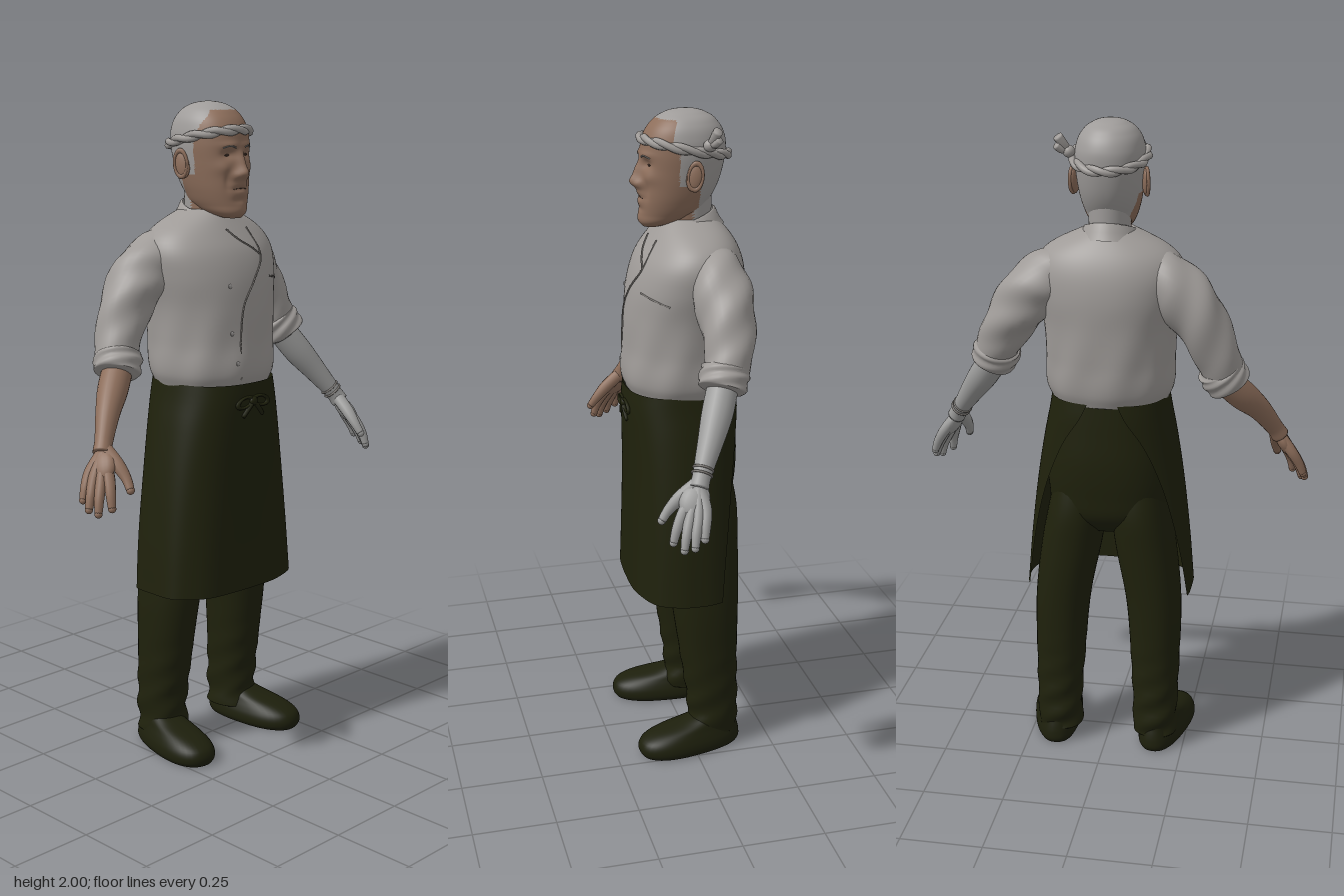
import * as THREE from 'three';

const mat = (name, color, side = THREE.FrontSide) => {
  const m = new THREE.MeshStandardMaterial({ color, side });
  m.name = name;
  return m;
};
const V = (x, y, z) => new THREE.Vector3(x, y, z);
const gauss = (x, y, cx, cy, sx, sy) => Math.exp(-(((x - cx) / sx) ** 2) - ((y - cy) / sy) ** 2);
const power = (v, k) => Math.sign(v) * Math.abs(v) ** k;

// Skin a list of point rings; closed rings wrap around
function skinRings(rings, closed = true) {
  const n = rings[0].length, pos = [], idx = [];
  rings.forEach(r => r.forEach(p => pos.push(p.x, p.y, p.z)));
  for (let i = 0; i < rings.length - 1; i++)
    for (let j = 0; j < (closed ? n : n - 1); j++) {
      const k = (j + 1) % n, a = i * n + j, b = i * n + k, c = a + n, d = b + n;
      idx.push(a, c, b, b, c, d);
    }
  const g = new THREE.BufferGeometry();
  g.setAttribute('position', new THREE.Float32BufferAttribute(pos, 3));
  g.setIndex(idx);
  g.computeVertexNormals();
  return g;
}

// Smooth interpolation of rows by their first column
function rowReader(rows) {
  const c = new THREE.CubicInterpolant(rows.map(r => r[0]), rows.flatMap(r => r.slice(1)), rows[0].length - 1);
  return y => Array.from(c.evaluate(y));
}
const middle = ring => ring.reduce((s, p) => s.add(p), V(0, 0, 0)).divideScalar(ring.length);
const capped = rings => {
  const flat = r => { const m = middle(r); return r.map(() => m); };
  return [flat(rings[0]), ...rings, flat(rings[rings.length - 1])];
};

// Upright body from rows of [y, half width, front z, back z, centre x]
function loft(rows, { e = 2, seg = 40, steps = 32, bump } = {}) {
  const read = rowReader(rows), y0 = rows[0][0], y1 = rows[rows.length - 1][0], rings = [];
  for (let i = 0; i <= steps; i++) {
    const y = y0 + (y1 - y0) * (1 - Math.cos(Math.PI * i / steps)) / 2;
    const [hx, zf, zb, cx] = read(y), ring = [];
    for (let j = 0; j < seg; j++) {
      const t = j / seg * Math.PI * 2;
      const p = V(cx + hx * power(Math.cos(t), 2 / e), y, (zf + zb) / 2 + (zf - zb) / 2 * power(Math.sin(t), 2 / e));
      if (bump) bump(p, t);
      ring.push(p);
    }
    rings.push(ring);
  }
  return skinRings(capped(rings));
}

// Round limb along points of [x, y, z, radius]
function limb(pts, seg = 20, steps = 20, wrinkle = 0) {
  const curve = new THREE.CatmullRomCurve3(pts.map(p => V(p[0], p[1], p[2])));
  const f = curve.computeFrenetFrames(steps), read = rowReader(pts.map((p, i) => [i, p[3]])), rings = [];
  for (let i = 0; i <= steps; i++) {
    const u = i / steps, c = curve.getPoint(u), r = read(u * (pts.length - 1))[0], ring = [];
    for (let j = 0; j < seg; j++) {
      const t = j / seg * Math.PI * 2, w = r + wrinkle * Math.sin(3 * t + 22 * u) * Math.sin(u * Math.PI);
      ring.push(c.clone().addScaledVector(f.normals[i], w * Math.cos(t)).addScaledVector(f.binormals[i], -w * Math.sin(t)));
    }
    rings.push(ring);
  }
  return skinRings(capped(rings));
}

// Two colour groups: 0 where test(centre) is true, otherwise 1
function splitColours(g, test) {
  const p = g.attributes.position, ix = g.index.array, sets = [[], []], v = V(0, 0, 0);
  for (let i = 0; i < ix.length; i += 3) {
    const c = V(0, 0, 0);
    for (let k = 0; k < 3; k++) c.add(v.fromBufferAttribute(p, ix[i + k]));
    sets[test(c.divideScalar(3)) ? 0 : 1].push(ix[i], ix[i + 1], ix[i + 2]);
  }
  g.setIndex([...sets[0], ...sets[1]]);
  g.addGroup(0, sets[0].length, 0);
  g.addGroup(sets[0].length, sets[1].length, 1);
  return g;
}

export function createModel() {
  const root = new THREE.Group();
  const shirt = mat('shirt cloth', 0x9f9b98, THREE.DoubleSide), skin = mat('skin', 0x8d6e5b);
  const grey = mat('grey hair', 0x9f9c9a), cloth = mat('dark olive cloth', 0x1f210c, THREE.DoubleSide);
  const shoe = mat('shoe', 0x1d1f0c), metal = mat('pale arm', 0x9c9c9b);
  const seam = mat('seam', 0x75716d), dark = mat('dark eye', 0x3a2c25);
  const add = (name, geo, m) => {
    const mesh = new THREE.Mesh(geo, m);
    mesh.name = name;
    root.add(mesh);
    return mesh;
  };
  const tube = (name, pts, r, m) => add(name, new THREE.TubeGeometry(new THREE.CatmullRomCurve3(pts), 40, r, 6), m);
  const ball = (name, m, p, s) => {
    const b = add(name, new THREE.SphereGeometry(1, 20, 14), m);
    b.position.set(...p);
    b.scale.set(...s);
    return b;
  };

  // Shirt body with sloping shoulders and blousing above the waist
  const torsoRows = [
    [1.165, 0.178, 0.16, -0.165, 0], [1.2, 0.192, 0.172, -0.178, 0], [1.3, 0.195, 0.168, -0.187, 0],
    [1.4, 0.202, 0.164, -0.191, 0], [1.5, 0.222, 0.15, -0.193, 0], [1.57, 0.225, 0.125, -0.182, 0],
    [1.615, 0.2, 0.096, -0.164, 0], [1.645, 0.158, 0.075, -0.144, 0], [1.67, 0.105, 0.057, -0.122, 0],
    [1.685, 0.07, 0.045, -0.105, 0]];
  add('shirt', loft(torsoRows, { e: 2.15, seg: 72, steps: 48, bump: (p, t) => {
    const w = 1 + 0.014 * Math.sin(t * 9 + p.y * 14) * Math.max(0, 1 - Math.abs(p.y - 1.27) / 0.2);
    p.x *= w; p.z *= w;
  } }), shirt);
  const torsoAt = rowReader(torsoRows);
  const onChest = ([x, y]) => {
    const [hx, zf, zb] = torsoAt(y);
    return V(x, y, (zf + zb) / 2 + (zf - zb) / 2 * (1 - Math.abs(x / hx) ** 2.15) ** (1 / 2.15) + 0.001);
  };
  // Overlapping front edge, lapel fold and chest pocket
  [['frontEdge', [[0.06, 1.63], [0.075, 1.55], [0.02, 1.48], [-0.03, 1.41], [-0.045, 1.32], [-0.045, 1.19]]],
    ['lapelFold', [[-0.03, 1.63], [0, 1.6], [0.04, 1.575], [0.075, 1.55]]],
    ['pocketEdge', [[0.1, 1.485], [0.15, 1.475], [0.19, 1.46]]]].forEach(([n, pts]) => tube(n, pts.map(onChest), 0.0028, seam));
  [[-0.075, 1.47], [-0.075, 1.33], [-0.06, 1.24]].forEach(b =>
    ball('button', grey, onChest(b).toArray(), [0.007, 0.007, 0.003]));

  // Stand collar, open at the throat and higher behind
  const collar = [[0, 0.1, 0.115], [0.5, 0.086, 0.1], [1, 0.077, 0.09], [1.02, 0.07, 0.083]].map(([k, rx, rz]) =>
    Array.from({ length: 33 }, (_, j) => {
      const t = 0.3 + j / 32 * (Math.PI * 2 - 0.6);
      return V(rx * Math.sin(t), 1.637 + 0.045 * k - 0.028 * Math.cos(t), -0.02 + rz * Math.cos(t));
    }));
  add('collar', skinRings(collar, false), shirt);

  // Neck
  add('neck', splitColours(loft([[1.57, 0.068, 0.07, -0.1, 0], [1.65, 0.062, 0.052, -0.098, 0], [1.76, 0.066, 0.06, -0.1, 0]]),
    c => c.z > -0.03), [skin, grey]);

  // Head with modelled brow, sockets, nose, lips and chin
  const headRows = [
    [1.662, 0.026, 0.108, 0.055, 0], [1.675, 0.05, 0.118, 0.0, 0], [1.7, 0.068, 0.119, -0.06, 0],
    [1.74, 0.083, 0.119, -0.092, 0], [1.78, 0.092, 0.117, -0.114, 0], [1.83, 0.099, 0.115, -0.13, 0],
    [1.88, 0.103, 0.113, -0.138, 0], [1.92, 0.1, 0.106, -0.136, 0], [1.96, 0.084, 0.082, -0.116, 0],
    [1.985, 0.057, 0.049, -0.086, 0], [1.997, 0.026, 0.012, -0.049, 0], [2, 0.004, -0.014, -0.022, 0]];
  const face = (x, y) => {
    const ax = Math.abs(x);
    return 0.025 * gauss(x, y, 0, 1.793, 0.02, 0.02) + 0.017 * gauss(x, y, 0, 1.825, 0.014, 0.03)
      + 0.01 * gauss(ax, y, 0.022, 1.788, 0.011, 0.012) - 0.012 * gauss(ax, y, 0.037, 1.848, 0.02, 0.014)
      + 0.006 * gauss(ax, y, 0.035, 1.875, 0.026, 0.01) + 0.006 * gauss(ax, y, 0.055, 1.81, 0.02, 0.018)
      - 0.005 * gauss(ax, y, 0.042, 1.77, 0.009, 0.025) + 0.004 * gauss(x, y, 0, 1.762, 0.028, 0.009)
      - 0.004 * gauss(x, y, 0, 1.748, 0.03, 0.005) + 0.003 * gauss(x, y, 0, 1.735, 0.025, 0.009)
      - 0.004 * gauss(x, y, 0, 1.715, 0.025, 0.009) + 0.003 * gauss(x, y, 0, 1.688, 0.025, 0.016);
  };
  const isFace = c => {
    if (c.y > 1.975) return false;
    if (c.y > 1.9) return c.z > 0.035 + 0.012 * Math.sin(c.x * 70);
    return c.z > (c.y > 1.79 ? 0.02 : -0.045);
  };
  add('head', splitColours(loft(headRows, { e: 2.15, seg: 120, steps: 100, bump: p => {
    if (p.z > 0.03) p.z += face(p.x, p.y);
  } }), isFace), [skin, grey]);
  const headAt = rowReader(headRows);
  const onFace = (x, y) => {
    const [hx, zf, zb] = headAt(y);
    return (zf + zb) / 2 + (zf - zb) / 2 * (1 - Math.abs(x / hx) ** 2.15) ** (1 / 2.15) + face(x, y);
  };
  tube('mouthLine', [-0.028, -0.014, 0, 0.014, 0.028].map(x => V(x, 1.749 - 3 * x * x, onFace(x, 1.749 - 3 * x * x))), 0.0013, dark);

  for (const s of [1, -1]) {
    // Eyes, brows and ears
    ball('eye', dark, [s * 0.036, 1.846, onFace(0.036, 1.846)], [0.011, 0.0035, 0.003]);
    tube('brow', [[0.018, 1.868], [0.036, 1.873], [0.056, 1.867]].map(([x, y]) => V(s * x, y, onFace(x, y))), 0.0025, seam);
    const ear = ball('ear', skin, [s * 0.104, 1.818, -0.022], [0.01, 0.042, 0.024]);
    ear.rotation.set(-0.2, s * -0.35, 0);
    const rim = add('earRim', new THREE.TorusGeometry(0.026, 0.0055, 8, 24), skin);
    rim.position.set(s * 0.109, 1.82, -0.024);
    rim.rotation.set(-0.1, Math.PI / 2 - s * 0.35, 0);
    rim.scale.set(0.8, 1.45, 1);
  }

  // Twisted headband with side knot
  for (const phase of [0, Math.PI]) {
    const pts = Array.from({ length: 120 }, (_, i) => {
      const t = i / 120 * Math.PI * 2, a = 6 * t + phase, r = 0.005 * Math.cos(a);
      return V((0.108 + r) * Math.cos(t), 1.893 + 0.026 * Math.sin(t) + 0.006 * Math.sin(a), -0.017 + (0.128 + r) * Math.sin(t));
    });
    add('headband', new THREE.TubeGeometry(new THREE.CatmullRomCurve3(pts, true), 240, 0.0105, 8, true), shirt);
  }
  ball('headbandKnot', shirt, [0.113, 1.908, -0.065], [0.018, 0.018, 0.02]);
  add('knotEnd', limb([[0.113, 1.91, -0.065, 0.01], [0.128, 1.93, -0.072, 0.014], [0.143, 1.953, -0.08, 0.015]], 8, 8), shirt);
  add('knotEnd', limb([[0.113, 1.91, -0.065, 0.009], [0.133, 1.915, -0.075, 0.012], [0.147, 1.928, -0.085, 0.011]], 8, 8), shirt);

  // Arms: sleeve, rolled cuff, forearm and hand
  for (const s of [1, -1]) {
    const m = s > 0 ? metal : skin, drop = s > 0 ? 0 : -0.035;
    const P = (x, y, z, r) => [s * x, y, z, r];
    add('sleeve', limb([P(0.08, 1.585, -0.055, 0.06), P(0.15, 1.55, -0.063, 0.083), P(0.215, 1.505, -0.072, 0.088),
      P(0.275, 1.43, -0.075, 0.081), P(0.325, 1.345 + drop * 0.5, -0.065, 0.069),
      P(0.355, 1.28 + drop, -0.045, 0.062)], 28, 40, 0.004), shirt);
    add('cuff', limb([P(0.333, 1.318 + drop, -0.054, 0.055), P(0.336, 1.312 + drop, -0.053, 0.069), P(0.347, 1.29 + drop, -0.045, 0.071),
      P(0.362, 1.262 + drop, -0.034, 0.068), P(0.365, 1.257 + drop, -0.032, 0.05)], 28, 24, 0.003), shirt);
    add('forearm', limb([P(0.345, 1.28 + drop, -0.045, 0.045), P(0.4, 1.2 + drop * 0.5, -0.01, 0.045),
      P(0.45, 1.13, 0.025, 0.036), P(0.497, 1.06, 0.06, 0.027), P(0.515, 1.03, 0.073, 0.028)], 24, 24), m);
    const palm = ball('palm', m, [s * 0.528, 1.0, 0.089], [0.021, 0.052, 0.042]);
    palm.rotation.set(-0.4, s * -0.4, s * 0.42);
    // [knuckle, middle joint, tip]
    [[[0.535, 0.967, 0.125], [0.548, 0.925, 0.146], [0.553, 0.89, 0.156]],
      [[0.55, 0.96, 0.107], [0.573, 0.913, 0.124], [0.583, 0.876, 0.132]],
      [[0.558, 0.965, 0.085], [0.582, 0.92, 0.098], [0.594, 0.885, 0.104]],
      [[0.556, 0.976, 0.063], [0.578, 0.938, 0.07], [0.59, 0.907, 0.075]]].forEach(([k, j, t]) => {
      add('finger', limb([P(0.51, 1.035, 0.072, 0.019), P(...k, 0.017), P(...j, 0.0145), P(...t, 0.0115)], 12, 18), m);
      ball('fingertip', m, [s * t[0], t[1], t[2]], [0.0118, 0.0118, 0.0118]);
    });
    add('thumb', limb([P(0.505, 1.045, 0.07, 0.021), P(0.5, 1.0, 0.125, 0.02), P(0.498, 0.965, 0.158, 0.015), P(0.502, 0.938, 0.177, 0.012)], 12, 16), m);
    ball('thumbTip', m, [s * 0.502, 0.938, 0.177], [0.0122, 0.0122, 0.0122]);
  }
  // Wrist rings on the pale arm
  const along = V(0.047, -0.07, 0.035).normalize();
  [0, 0.016].forEach(d => {
    const ring = add('wristRing', new THREE.TorusGeometry(0.029, 0.0035, 8, 28), seam);
    ring.position.set(0.487, 1.075, 0.053).addScaledVector(along, d);
    ring.quaternion.setFromUnitVectors(V(0, 0, 1), along);
  });

  // Trousers and shoes
  add('hips', loft([[0.74, 0.08, 0.03, -0.1, 0], [0.79, 0.165, 0.085, -0.148, 0], [0.87, 0.187, 0.1, -0.164, 0],
    [0.97, 0.19, 0.11, -0.171, 0], [1.08, 0.185, 0.13, -0.166, 0], [1.175, 0.176, 0.145, -0.16, 0]], { e: 2.3 }), cloth);
  for (const s of [1, -1]) {
    add('trouserLeg', loft([[0.05, 0.07, 0.012, -0.148, s * 0.155], [0.12, 0.07, 0.008, -0.15, s * 0.156],
      [0.3, 0.077, 0.03, -0.148, s * 0.153], [0.5, 0.086, 0.058, -0.152, s * 0.145],
      [0.7, 0.094, 0.08, -0.157, s * 0.115], [0.8, 0.09, 0.085, -0.157, s * 0.1],
      [0.95, 0.07, 0.08, -0.13, s * 0.09]], { e: 2.2, steps: 48, bump: (p, t) => {
      const low = Math.max(0, 1 - p.y / 0.4);
      p.z += 0.006 * low * Math.sin(p.y * 75 + 2 * t);
      p.x += 0.004 * low * Math.cos(p.y * 60 + 2 * t);
    } }), cloth);
    const sh = add('shoe', loft([[0, 0.068, 0.17, -0.15, 0], [0.012, 0.075, 0.178, -0.157, 0], [0.035, 0.075, 0.178, -0.157, 0],
      [0.055, 0.068, 0.162, -0.153, 0], [0.072, 0.06, 0.12, -0.148, 0], [0.09, 0.053, 0.04, -0.142, 0],
      [0.105, 0.046, -0.01, -0.13, 0]], { e: 2.4, bump: p => { p.x *= 1 + 0.1 * Math.sin(p.z * 9); } }), shoe);
    sh.position.set(s * 0.178, 0, 0);
    sh.rotation.y = s * 0.15;
  }

  // Wrap apron, open at the back, widening and squarer towards the hem
  const apronAt = rowReader([[0.53, 0.262, 0.17, 1.9], [0.7, 0.248, 0.167, 2.05], [0.9, 0.225, 0.166, 2.3],
    [1.05, 0.201, 0.17, 2.6], [1.13, 0.185, 0.172, 2.85], [1.175, 0.178, 0.168, 2.95]]);
  const apron = Array.from({ length: 29 }, (_, i) => {
    const y = 0.53 + 0.645 * i / 28, [hx, hz, range] = apronAt(y), k = 0.7 + 0.12 * i / 28;
    return Array.from({ length: 73 }, (_, j) => {
      const t = range * (1 - 2 * j / 72), w = 1 + 0.012 * Math.sin(t * 9) * (1.17 - y);
      return V(hx * power(Math.sin(t), k) * w, y, hz * power(Math.cos(t), k) * w);
    });
  });
  add('apron', skinRings(apron, false), cloth);

  // Apron bow
  ball('bowKnot', cloth, [0, 1.12, 0.174], [0.015, 0.014, 0.009]);
  for (const s of [1, -1]) {
    const loop = add('bowLoop', new THREE.TorusGeometry(0.024, 0.007, 8, 24), cloth);
    loop.position.set(s * 0.034, 1.118, 0.172);
    loop.scale.set(1.3, 0.6, 0.8);
    loop.rotation.z = s * -0.2;
    add('bowTail', limb([[0, 1.118, 0.174, 0.006], [s * 0.02, 1.1, 0.174, 0.007], [s * 0.042, 1.075, 0.171, 0.006]], 8, 8), cloth);
  }
  return root;
}
